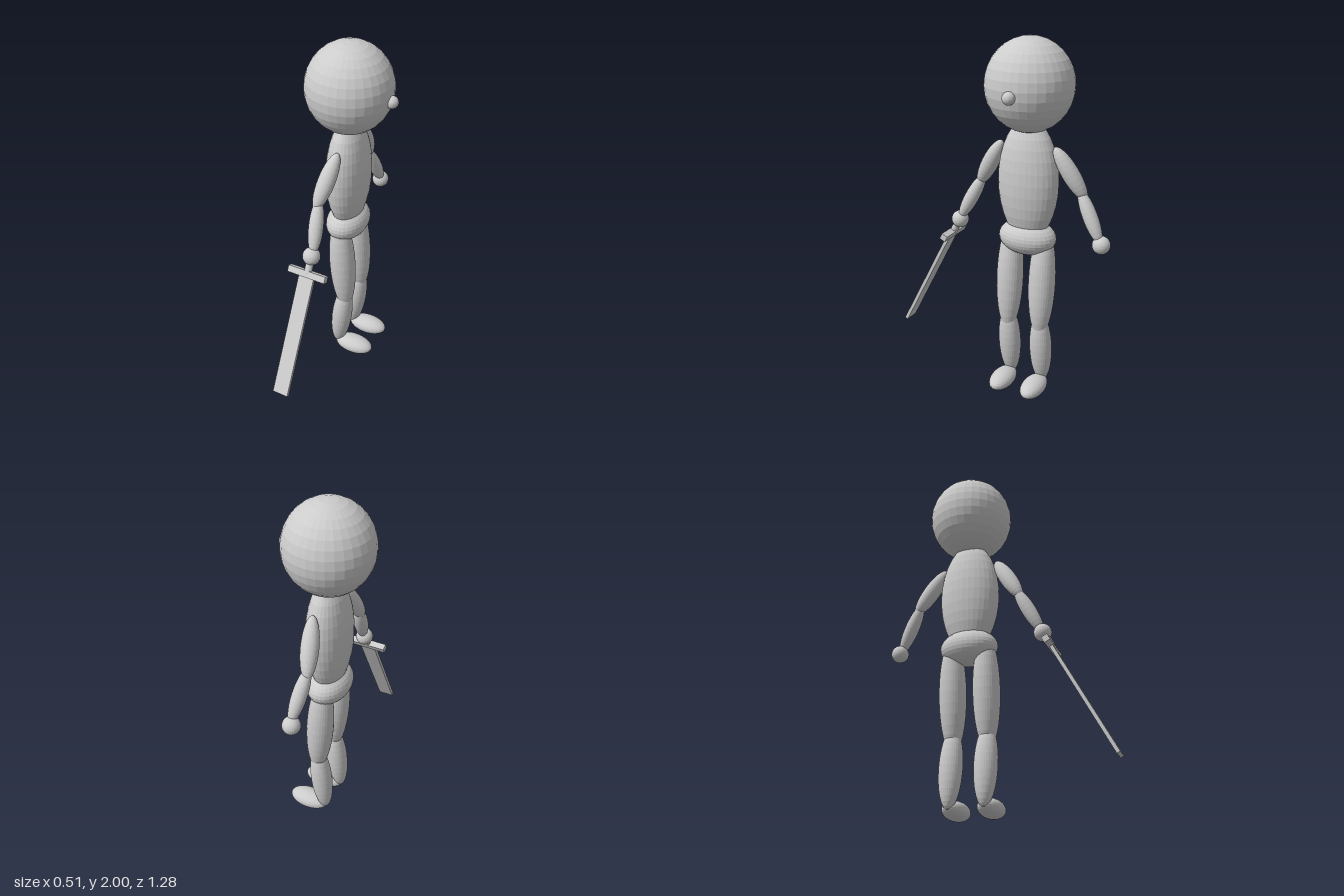
import * as THREE from 'three';

const grey = new THREE.MeshStandardMaterial({ color: 0xcccccc, flatShading: true });
grey.name = 'plain grey';

const UP = new THREE.Vector3(0, 1, 0);
const MID = -0.165; // z of the body's plane of symmetry

export function createModel() {
  const model = new THREE.Group();
  model.name = 'figureWithSword';

  // Adds a mesh whose local y axis points along the given direction
  const add = (name, geometry, position, axis = [0, 1, 0]) => {
    const mesh = new THREE.Mesh(geometry, grey);
    mesh.name = name;
    mesh.position.set(...position);
    mesh.quaternion.setFromUnitVectors(UP, new THREE.Vector3(...axis).normalize());
    model.add(mesh);
    return mesh;
  };
  const ellipsoid = (name, position, radii, axis) =>
    add(name, new THREE.SphereGeometry(1, 32, 16).scale(...radii), position, axis);

  // Head and trunk, facing +x
  ellipsoid('head', [-0.018, 1.753, MID], [0.236, 0.247, 0.236]);
  ellipsoid('nose', [0.221, 1.725, MID], [0.034, 0.034, 0.034]);
  ellipsoid('torso', [-0.017, 1.24, MID], [0.115, 0.34, 0.171]);
  ellipsoid('pelvis', [-0.017, 0.923, MID], [0.115, 0.1, 0.165]);

  // Limbs, mirrored about the plane of symmetry
  for (const [s, side] of [[1, 'right'], [-1, 'left']]) {
    const z = (offset) => MID + s * offset;
    ellipsoid(side + 'UpperArm', [-0.029, 1.308, z(0.235)], [0.047, 0.162, 0.047], [0.045, 0.26, -s * 0.155]);
    ellipsoid(side + 'Forearm', [-0.029, 1.093, z(0.352)], [0.04, 0.152, 0.04], [-0.035, 0.262, -s * 0.135]);
    ellipsoid(side + 'Hand', [-0.018, 0.95, z(0.425)], [0.049, 0.049, 0.049]);
    ellipsoid(side + 'Thigh', [-0.002, 0.67, z(0.098)], [0.075, 0.325, 0.075], [-0.045, 0.64, 0]);
    ellipsoid(side + 'Shin', [-0.004, 0.265, z(0.098)], [0.06, 0.227, 0.064], [0.045, 0.42, 0]);
    ellipsoid(side + 'Foot', [0.081, 0.055, z(0.098)], [0.12, 0.051, 0.066]);
  }

  // Sword, laid out along a line from the hand down to the tip
  const axis = [0, -0.885, 0.465];
  const along = (d) => [-0.017, 0.95 + axis[1] * d, 0.262 + axis[2] * d];
  add('swordHandle', new THREE.CylinderGeometry(0.021, 0.021, 0.12, 32), along(0.04), axis);
  add('swordGuard', new THREE.BoxGeometry(0.224, 0.037, 0.037), along(0.098), axis);
  add('swordBlade', new THREE.BoxGeometry(0.09, 0.7, 0.02), along(0.449), axis);

  return model;
}
